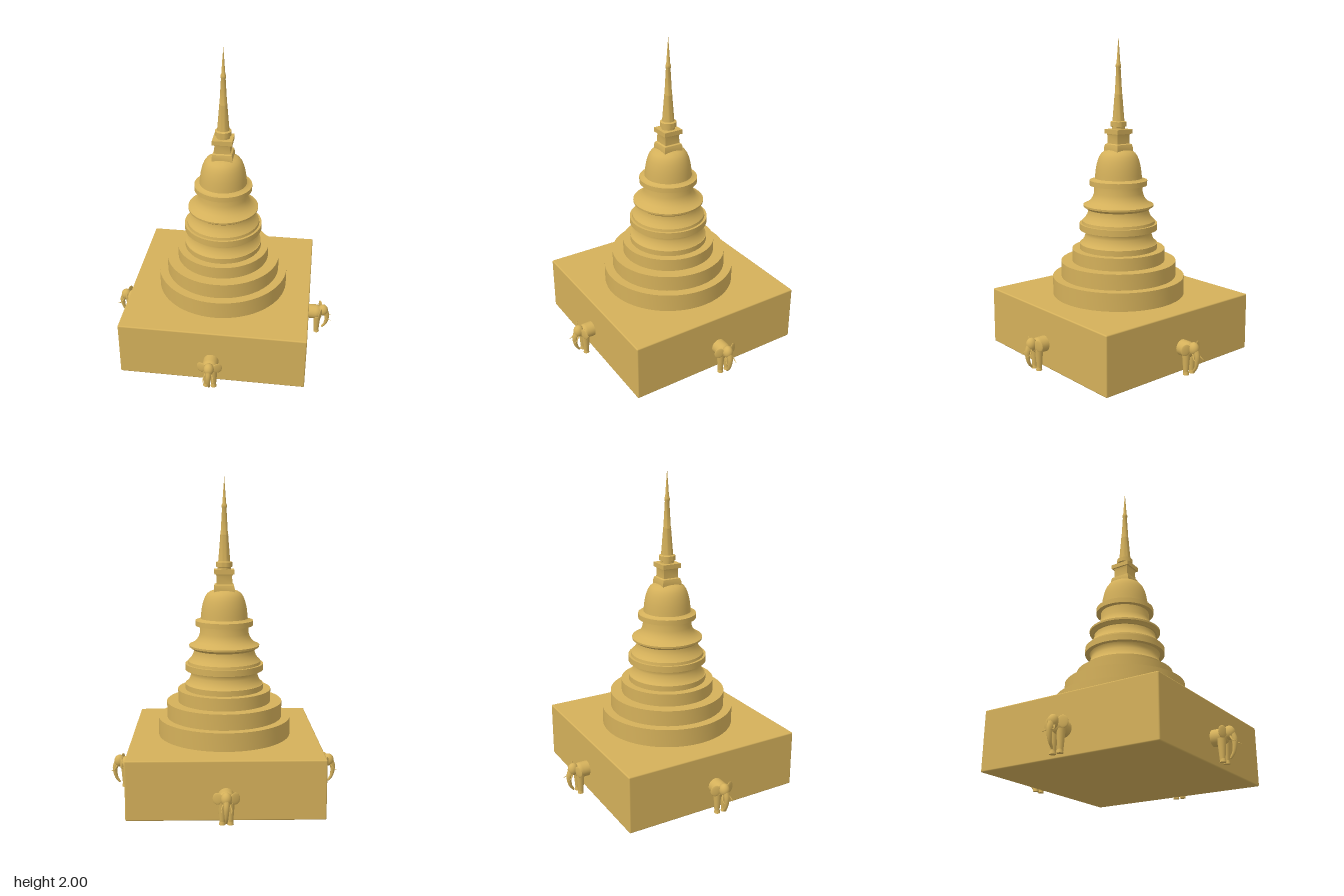
import * as THREE from 'three';
import { toCreasedNormals } from 'three/addons/utils/BufferGeometryUtils.js';
import { RoundedBoxGeometry } from 'three/addons/geometries/RoundedBoxGeometry.js';

const gold = new THREE.MeshStandardMaterial({ color: 0xd4b05a });
gold.name = 'gold';

function add(parent, name, geometry, x = 0, y = 0, z = 0) {
  const mesh = new THREE.Mesh(geometry, gold);
  mesh.name = name;
  mesh.position.set(x, y, z);
  parent.add(mesh);
  return mesh;
}

// Turned part from [radius, height] pairs, with sharp edges kept
function turned(profile, sides = 64) {
  const points = profile.map(([r, y]) => new THREE.Vector2(r, y));
  return toCreasedNormals(new THREE.LatheGeometry(points, sides), 0.6);
}

// Square moulding from [half width, height] pairs
function square(profile) {
  const g = turned(profile.map(([w, y]) => [w * Math.SQRT2, y]), 4);
  return g.rotateY(Math.PI / 4);
}

// Tube along a curve, narrowing from r0 to r1
function taperedTube(points, r0, r1, segments = 16, sides = 10) {
  const curve = new THREE.CatmullRomCurve3(points.map((p) => new THREE.Vector3(...p)));
  const g = new THREE.TubeGeometry(curve, segments, 1, sides);
  const pos = g.attributes.position;
  const v = new THREE.Vector3();
  for (let i = 0; i < pos.count; i++) {
    const t = Math.floor(i / (sides + 1)) / segments;
    const c = curve.getPointAt(t);
    v.fromBufferAttribute(pos, i).sub(c).multiplyScalar(r0 + (r1 - r0) * t).add(c);
    pos.setXYZ(i, v.x, v.y, v.z);
  }
  g.computeVertexNormals();
  return g;
}

function ellipsoid(rx, ry, rz) {
  return new THREE.SphereGeometry(1, 24, 16).scale(rx, ry, rz);
}

// Front half of an elephant coming out of a wall at z = 0, facing +z
function createElephant() {
  const elephant = new THREE.Group();
  elephant.name = 'elephant';
  const body = new THREE.CapsuleGeometry(0.048, 0.07, 8, 24).rotateX(Math.PI / 2);
  add(elephant, 'body', body, 0, 0.153, 0.015);
  add(elephant, 'head', ellipsoid(0.032, 0.04, 0.034), 0, 0.17, 0.1);
  add(elephant, 'trunk', taperedTube([
    [0, 0.165, 0.113], [0, 0.13, 0.128], [0, 0.09, 0.128], [0, 0.055, 0.119], [0, 0.03, 0.102],
  ], 0.021, 0.007));
  add(elephant, 'trunkTip', ellipsoid(0.007, 0.007, 0.007), 0, 0.03, 0.102);
  for (const s of [-1, 1]) {
    add(elephant, 'leg', new THREE.CylinderGeometry(0.025, 0.015, 0.13, 16), s * 0.024, 0.072, 0.062);
    add(elephant, 'foot', new THREE.CylinderGeometry(0.015, 0.019, 0.02, 16), s * 0.024, 0.015, 0.064);
    const ear = add(elephant, 'ear', ellipsoid(0.03, 0.036, 0.006), s * 0.051, 0.168, 0.083);
    ear.rotation.set(0, s * 0.4, s * 0.25);
    add(elephant, 'tusk', taperedTube([
      [s * 0.018, 0.145, 0.112], [s * 0.03, 0.118, 0.132], [s * 0.029, 0.109, 0.155],
    ], 0.006, 0.001, 10, 8));
  }
  return elephant;
}

export function createModel() {
  const model = new THREE.Group();
  model.name = 'stupa';

  // Square plinth
  add(model, 'plinth', new RoundedBoxGeometry(1.18, 0.365, 1.175, 3, 0.008), 0, 0.1825, 0);

  // Stepped round terraces
  add(model, 'terraces', turned([
    [0.425, 0.35], [0.425, 0.48], [0.37, 0.48], [0.37, 0.58],
    [0.298, 0.58], [0.298, 0.66], [0.25, 0.66], [0.25, 0.695], [0.2, 0.695],
  ]));

  // Waisted mouldings
  add(model, 'lowerMoulding', turned([
    [0.246, 0.695], [0.235, 0.705], [0.222, 0.725], [0.214, 0.75], [0.213, 0.77], [0.222, 0.785],
    [0.25, 0.785], [0.25, 0.825], [0.235, 0.825], [0.232, 0.842], [0.215, 0.858],
    [0.202, 0.88], [0.195, 0.9], [0.194, 0.917], [0.205, 0.917],
  ]));
  add(model, 'upperMoulding', turned([
    [0.19, 0.915], [0.202, 0.917], [0.213, 0.928], [0.224, 0.933], [0.225, 0.945], [0.205, 0.953],
    [0.182, 0.97], [0.166, 0.992], [0.156, 1.02], [0.154, 1.07], [0.184, 1.07], [0.184, 1.102],
    [0.165, 1.104], [0.15, 1.115], [0.13, 1.115],
  ]));

  // Bell dome
  add(model, 'bell', turned([
    [0.151, 1.11], [0.148, 1.14], [0.144, 1.175], [0.138, 1.205], [0.131, 1.23],
    [0.121, 1.255], [0.107, 1.275], [0.088, 1.288], [0.06, 1.297], [0, 1.3],
  ]));

  // Square pedestal above the bell
  add(model, 'pedestal', square([
    [0.065, 1.285], [0.065, 1.31], [0.06, 1.33], [0.05, 1.335], [0.049, 1.385], [0.053, 1.397],
    [0.063, 1.397], [0.063, 1.425], [0.045, 1.425], [0, 1.427],
  ]));

  // Ringed spire
  add(model, 'spire', turned([
    [0.042, 1.42], [0.042, 1.44], [0.051, 1.443], [0.051, 1.472], [0.038, 1.477], [0.036, 1.5],
    [0.025, 1.635], [0.026, 1.64], [0.023, 1.648], [0.014, 1.805], [0.017, 1.813],
    [0.017, 1.825], [0.012, 1.835], [0.006, 1.92], [0, 2],
  ], 32));

  // One elephant on each side of the plinth
  for (let i = 0; i < 4; i++) {
    const a = (i * Math.PI) / 2;
    const elephant = createElephant();
    elephant.position.set(Math.sin(a) * 0.588, 0, Math.cos(a) * 0.585);
    elephant.rotation.y = a;
    model.add(elephant);
  }
  return model;
}
